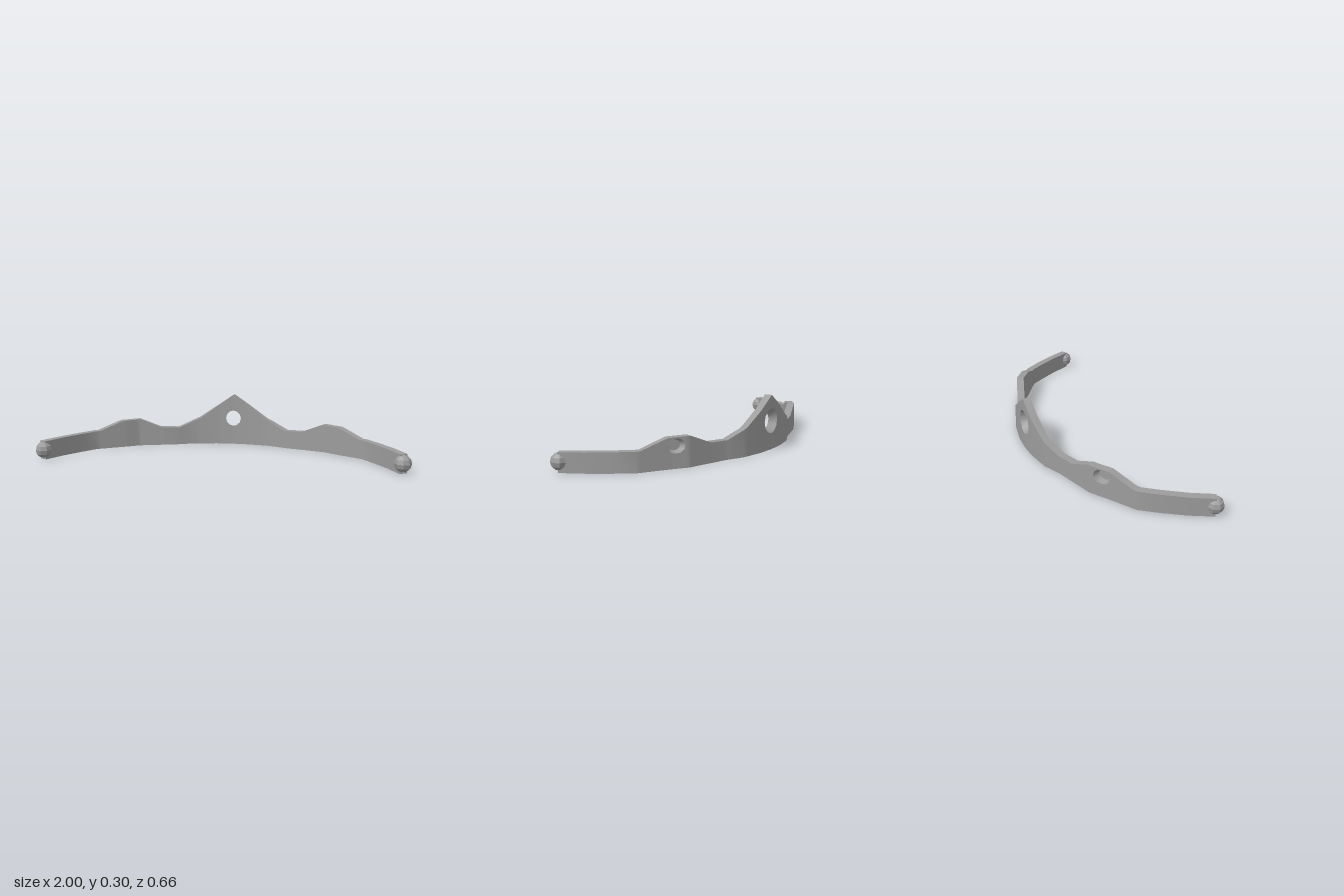
import * as THREE from 'three';
import { toCreasedNormals } from 'three/addons/utils/BufferGeometryUtils.js';

const HALF = 0.021, SIDES = 12;

// half of the band's centre line (x, z), mirrored by the helpers below
const PATH = [[0, -0.311], [0.1, -0.306], [0.23, -0.282], [0.33, -0.235], [0.55, -0.165],
  [0.62, -0.115], [0.77, -0.02], [0.83, 0.065], [0.9, 0.175], [0.958, 0.29]];
// upper edge (x, y)
const TOP = [[0, 0.296], [0.2, 0.157], [0.32, 0.102], [0.42, 0.105], [0.54, 0.157],
  [0.635, 0.155], [0.75, 0.105], [0.958, 0.1]];
const END = 0.958;

// centre opening goes right through; side settings are blind pits
const HOLES = [
  { x: 0, y: 0.156, outer: 0.068, inner: 0.046, through: true },
  { x: 0.602, y: 0.113, outer: 0.038, inner: 0.028, through: false },
  { x: -0.602, y: 0.113, outer: 0.038, inner: 0.028, through: false },
];

function interp(points, x) {
  let i = 0;
  while (i < points.length - 2 && x > points[i + 1][0]) i++;
  const [a, b] = [points[i], points[i + 1]];
  const t = (x - a[0]) / (b[0] - a[0]);
  return a.slice(1).map((v, k) => v + (b[k + 1] - v) * t);
}

// outward normals at each path point
const NORMALS = PATH.map((p, i) => {
  const a = i ? PATH[i - 1] : [-PATH[1][0], PATH[1][1]];
  const b = PATH[Math.min(i + 1, PATH.length - 1)];
  const dx = b[0] - a[0], dz = b[1] - a[1], l = Math.hypot(dx, dz);
  return [p[0], dz / l, -dx / l];
});

// point on the bent band; d = 1 on the outside, -1 on the inside
function place(x, y, d) {
  const ax = Math.abs(x), s = Math.sign(x);
  const [nx, nz] = interp(NORMALS, ax);
  return new THREE.Vector3(x + s * nx * d * HALF, y, interp(PATH, ax)[0] + nz * d * HALF);
}

const ring = (h, r) => Array.from({ length: SIDES }, (_, i) => {
  const a = (i / SIDES) * Math.PI * 2;
  return [h.x + r * Math.cos(a), h.y + r * Math.sin(a)];
});

// half height of a polygonal opening at x
function opening(h, r, x) {
  if (Math.abs(x - h.x) >= r - 1e-6) return 0;
  const arc = ring(h, r).slice(0, SIDES / 2 + 1).reverse().map(([px, py]) => [px, py - h.y]);
  return interp(arc, x)[0];
}

function bandGeometry() {
  const pos = [];
  const tri = (a, b, c) => {
    const area = b.clone().sub(a).cross(c.clone().sub(a)).length();
    if (area > 1e-9) for (const p of [a, b, c]) pos.push(p.x, p.y, p.z);
  };
  const quad = (a, b, c, d) => { tri(a, b, c); tri(a, c, d); };
  const top = (x) => interp(TOP, Math.abs(x))[0];

  // columns at every bend, height change and opening corner
  let xs = [...PATH, ...TOP].flatMap(([x]) => [x, -x]);
  for (const h of HOLES) xs.push(...ring(h, h.outer).map((p) => p[0]), ...ring(h, h.inner).map((p) => p[0]));
  xs = xs.sort((a, b) => a - b).filter((x, i, all) => !i || x - all[i - 1] > 1e-6);

  for (let i = 0; i < xs.length - 1; i++) {
    const a = xs[i], b = xs[i + 1], mid = (a + b) / 2;
    for (const d of [1, -1]) {
      const hole = HOLES.find((h) => (d > 0 || h.through)
        && Math.abs(mid - h.x) < (d > 0 ? h.outer : h.inner));
      const span = (y0, y1, y2, y3) => {
        const q = [place(a, y0, d), place(a, y1, d), place(b, y2, d), place(b, y3, d)];
        quad(...(d > 0 ? q : q.reverse()));
      };
      if (hole) {
        const r = d > 0 ? hole.outer : hole.inner;
        const ha = opening(hole, r, a), hb = opening(hole, r, b);
        span(0, hole.y - ha, hole.y - hb, 0);
        span(hole.y + ha, top(a), top(b), hole.y + hb);
      } else span(0, top(a), top(b), 0);
    }
    // upper and lower edges
    quad(place(a, top(a), 1), place(a, top(a), -1), place(b, top(b), -1), place(b, top(b), 1));
    quad(place(b, 0, 1), place(b, 0, -1), place(a, 0, -1), place(a, 0, 1));
  }

  // end faces
  for (const s of [-1, 1]) {
    const x = s * END, t = top(x);
    const q = [place(x, 0, 1), place(x, 0, -1), place(x, t, -1), place(x, t, 1)];
    quad(...(s < 0 ? q : q.reverse()));
  }

  // tapered walls of the openings, and floors of the pits
  for (const h of HOLES) {
    const depth = h.through ? -1 : -0.5;
    const o = ring(h, h.outer).map(([x, y]) => place(x, y, 1));
    const n = ring(h, h.inner).map(([x, y]) => place(x, y, depth));
    const centre = place(h.x, h.y, depth);
    for (let i = 0; i < SIDES; i++) {
      const j = (i + 1) % SIDES;
      quad(o[i], n[i], n[j], o[j]);
      if (!h.through) tri(centre, n[j], n[i]);
    }
  }

  const g = new THREE.BufferGeometry();
  g.setAttribute('position', new THREE.Float32BufferAttribute(pos, 3));
  return toCreasedNormals(g, 0.6);
}

export function createModel() {
  const metal = new THREE.MeshStandardMaterial({ color: 0x9c9c9c });
  metal.name = 'grey metal';
  const model = new THREE.Group();
  model.name = 'circlet';

  const band = new THREE.Mesh(bandGeometry(), metal);
  band.name = 'band';
  model.add(band);

  // faceted knobs on both tips
  const knob = toCreasedNormals(new THREE.SphereGeometry(0.045, 8, 6), 0.3);
  for (const [s, name] of [[1, 'leftTip'], [-1, 'rightTip']]) {
    const tip = new THREE.Mesh(knob, metal);
    tip.name = name;
    tip.position.set(s * 0.955, 0.052, 0.288);
    model.add(tip);
  }
  return model;
}
